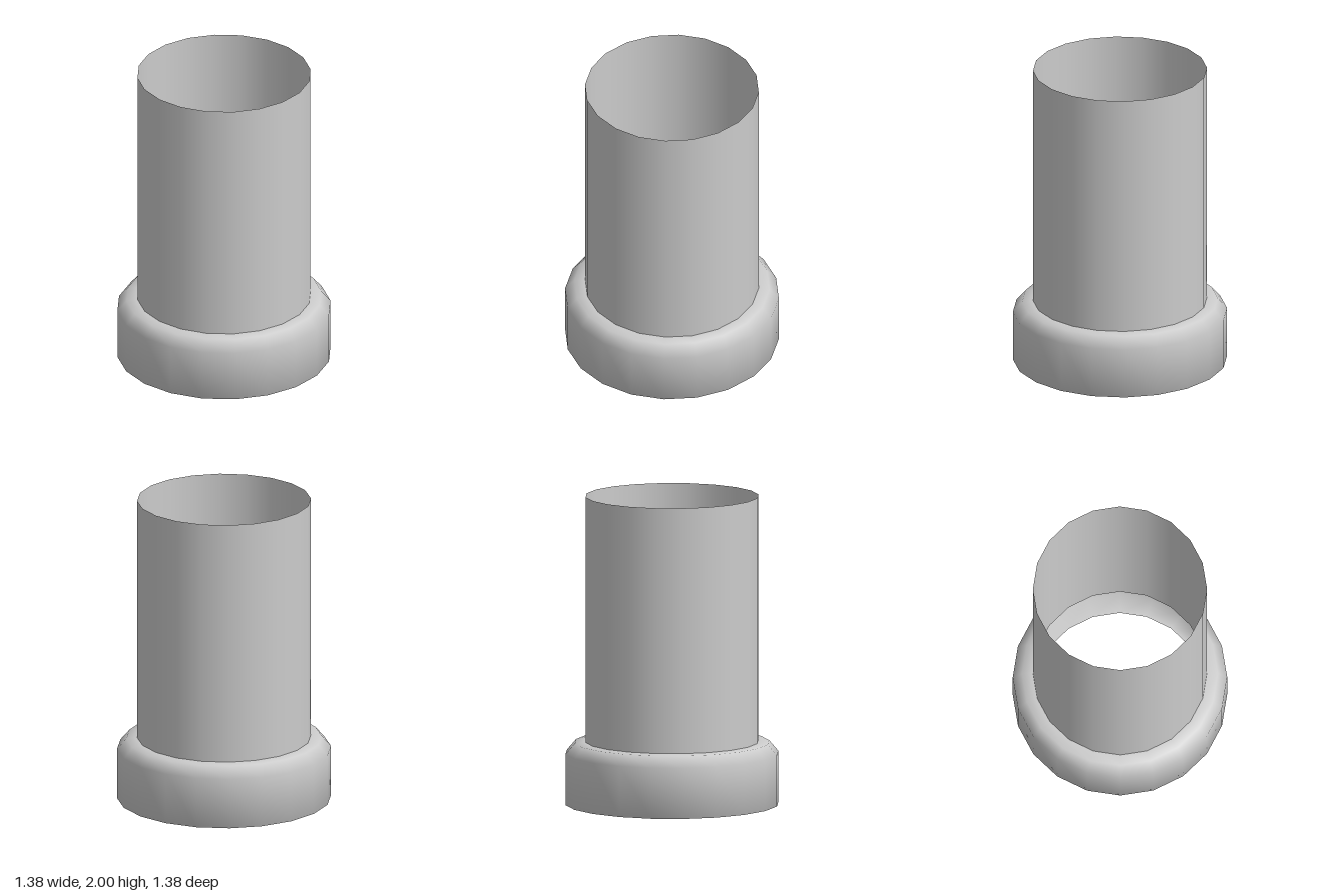
import * as THREE from 'three';

const SIDES = 20;

export function createModel() {
  const group = new THREE.Group();
  const material = new THREE.MeshStandardMaterial({ color: 0xcccccc, side: THREE.DoubleSide });

  // Thin shell turned around the y axis from [radius, height] pairs
  const addShell = (name, profile) => {
    const points = profile.map(([r, y]) => new THREE.Vector2(r, y));
    const mesh = new THREE.Mesh(new THREE.LatheGeometry(points, SIDES), material);
    mesh.name = name;
    group.add(mesh);
  };

  // Open pipe rising from the collar
  addShell('pipe', [[0.56, 0.4], [0.56, 2]]);

  // Hollow collar: bottom rim, wall, chamfer and shoulder
  addShell('collar', [[0.56, 0], [0.69, 0], [0.69, 0.33], [0.63, 0.4], [0.56, 0.405]]);

  return group;
}
